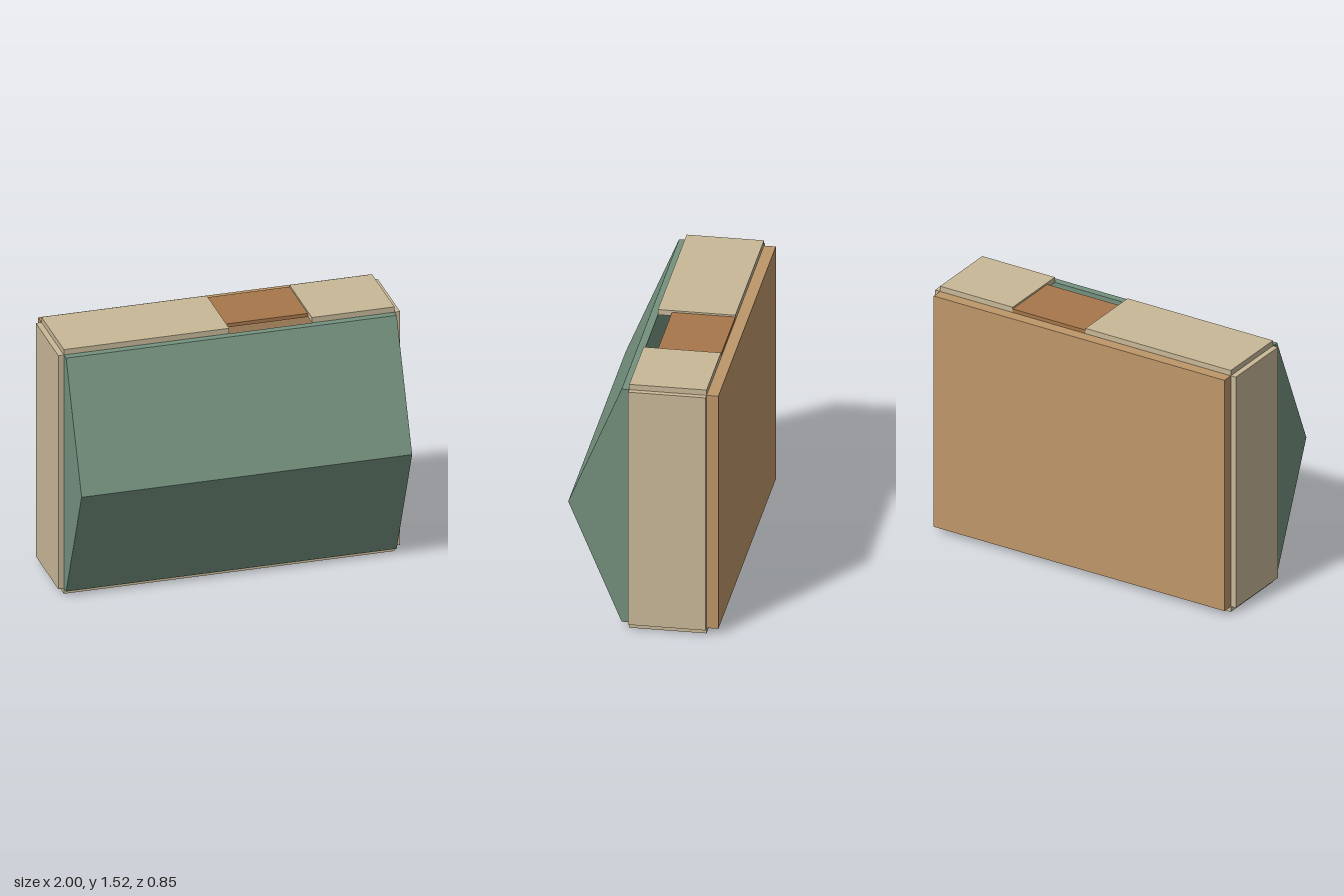
import * as THREE from 'three';

export function createModel() {
  const model = new THREE.Group();
  const mat = (color) => new THREE.MeshStandardMaterial({ color, flatShading: true });
  const wallMat = mat(0xc8b898), floorMat = mat(0xbe976a), doorMat = mat(0xa8774a), roofMat = mat(0x74917f);

  // Box given by its limits along each axis
  function slab(name, material, [x0, x1], [y0, y1], [z0, z1]) {
    const mesh = new THREE.Mesh(new THREE.BoxGeometry(x1 - x0, y1 - y0, z1 - z0), material);
    mesh.name = name;
    mesh.position.set((x0 + x1) / 2, (y0 + y1) / 2, (z0 + z1) / 2);
    model.add(mesh);
  }

  const inX = 0.967, outX = 1;
  const low = 0.034, high = 1.486, top = 1.519;
  const wallZ = [-0.36, 0.08];
  const doorX = [0, 0.484];

  // Base plate of the hollow house, which lies on its side
  slab('floor', floorMat, [-inX, inX], [low, high], [-0.427, -0.36]);

  // Walls around the base; the upper one is split by the doorway
  slab('leftWall', wallMat, [inX, outX], [low, high], wallZ);
  slab('rightWall', wallMat, [-outX, -inX], [low, high], wallZ);
  slab('bottomWall', wallMat, [-inX, inX], [0, low], wallZ);
  slab('topWallRight', wallMat, [-inX, doorX[0]], [high, top], wallZ);
  slab('topWallLeft', wallMat, [doorX[1], inX], [high, top], wallZ);

  // Door, shorter than the walls so a slot stays open above it
  slab('door', doorMat, doorX, [high, 1.508], [-0.36, 0]);

  // Gabled roof: profile in (z, y), extruded along x
  const profile = new THREE.Shape([
    [0.08, low], [0.123, low], [0.427, 0.76], [0.123, high], [0.08, high],
  ].map(([z, y]) => new THREE.Vector2(-z, y)));
  const roofGeo = new THREE.ExtrudeGeometry(profile, { depth: inX * 2, bevelEnabled: false });
  roofGeo.translate(0, 0, -inX).rotateY(Math.PI / 2);
  const roof = new THREE.Mesh(roofGeo, roofMat);
  roof.name = 'roof';
  model.add(roof);

  return model;
}
